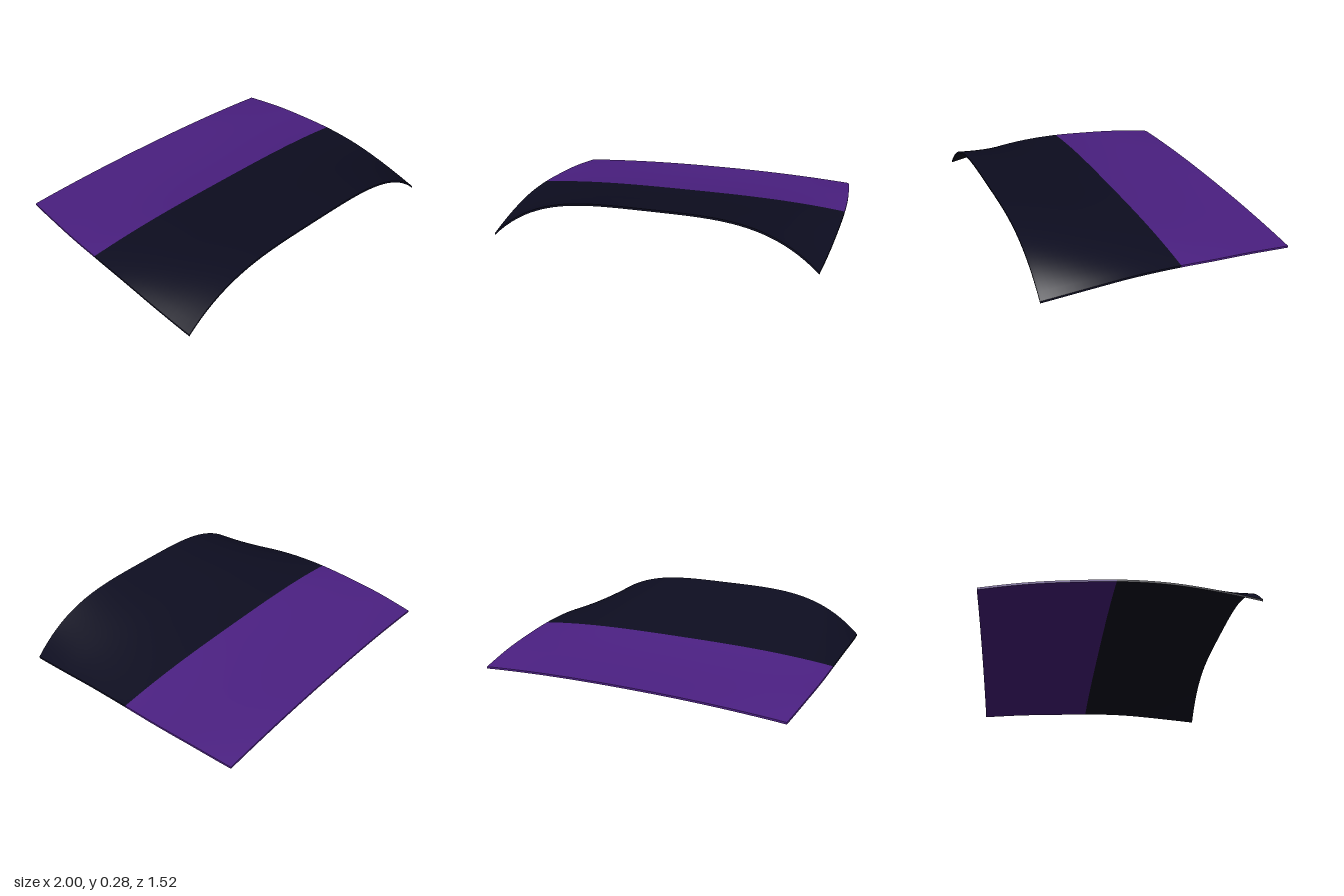
import * as THREE from 'three';
import { mergeGeometries } from 'three/addons/utils/BufferGeometryUtils.js';

const THICK = 0.012;
const SEAM = 0.477; // where the two colours meet, from back (0) to front (1)

// Heights at even steps from back to front: crown line and side edge of the upper skin
const HALF_DEPTH = 0.76;
const line = (ys) => new THREE.SplineCurve(ys.map((y, i) =>
  new THREE.Vector2(-HALF_DEPTH + (2 * HALF_DEPTH * i) / (ys.length - 1), y)));
const crown = line([0.045, 0.062, 0.088, 0.125, 0.17, 0.225, 0.281]);
const edge = line([0.012, 0.044, 0.064, 0.079, 0.078, 0.057, 0.027]);

// Point on the shell: u across (-1..1), t back to front, s from lower skin (0) to upper (1)
function shell(u, t, s) {
  const c = crown.getPoint(t);
  const e = edge.getPoint(t);
  const z = c.x;
  const halfWidth = 1 - 0.045 * (z / HALF_DEPTH) ** 2;
  const power = THREE.MathUtils.lerp(2.2, 3.7, t);
  const y = THREE.MathUtils.lerp(c.y, e.y, Math.abs(u) ** power);
  return [u * halfWidth, y - THICK * (1 - s), z];
}

// Grid of quads over fn(a, b), facing along dA x dB
function grid(na, nb, fn) {
  const pos = [];
  const index = [];
  for (let i = 0; i <= na; i++) {
    for (let j = 0; j <= nb; j++) {
      pos.push(...fn(i / na, j / nb));
      if (i < na && j < nb) {
        const p = i * (nb + 1) + j;
        const q = p + nb + 1;
        index.push(p, q, q + 1, p, q + 1, p + 1);
      }
    }
  }
  const g = new THREE.BufferGeometry();
  g.setAttribute('position', new THREE.Float32BufferAttribute(pos, 3));
  g.setIndex(index);
  g.computeVertexNormals();
  return g;
}

// Half of the panel: both skins, the side rims and one end rim
function panel(name, material, t0, t1, endRim) {
  const U = (k) => k * 2 - 1;
  const T = (k) => t0 + (t1 - t0) * k;
  const NX = 48;
  const NZ = 20;
  const parts = [
    grid(NZ, NX, (a, b) => shell(U(b), T(a), 1)), // upper skin
    grid(NX, NZ, (a, b) => shell(U(a), T(b), 0)), // lower skin
    grid(1, NZ, (a, b) => shell(1, T(b), a)), // left rim
    grid(NZ, 1, (a, b) => shell(-1, T(a), b)), // right rim
    endRim === 'front'
      ? grid(NX, 1, (a, b) => shell(U(a), t1, b))
      : grid(1, NX, (a, b) => shell(U(b), t0, a)),
  ];
  const mesh = new THREE.Mesh(mergeGeometries(parts), material);
  mesh.name = name;
  return mesh;
}

export function createModel() {
  const purple = new THREE.MeshStandardMaterial({ color: 0x4b2082 });
  purple.name = 'purple';
  const navy = new THREE.MeshStandardMaterial({ color: 0x0d0d20 });
  navy.name = 'dark navy';

  const group = new THREE.Group();
  group.name = 'curvedPanel';
  group.add(
    panel('rearPanel', purple, 0, SEAM, 'back'),
    panel('frontPanel', navy, SEAM, 1, 'front'),
  );
  return group;
}
